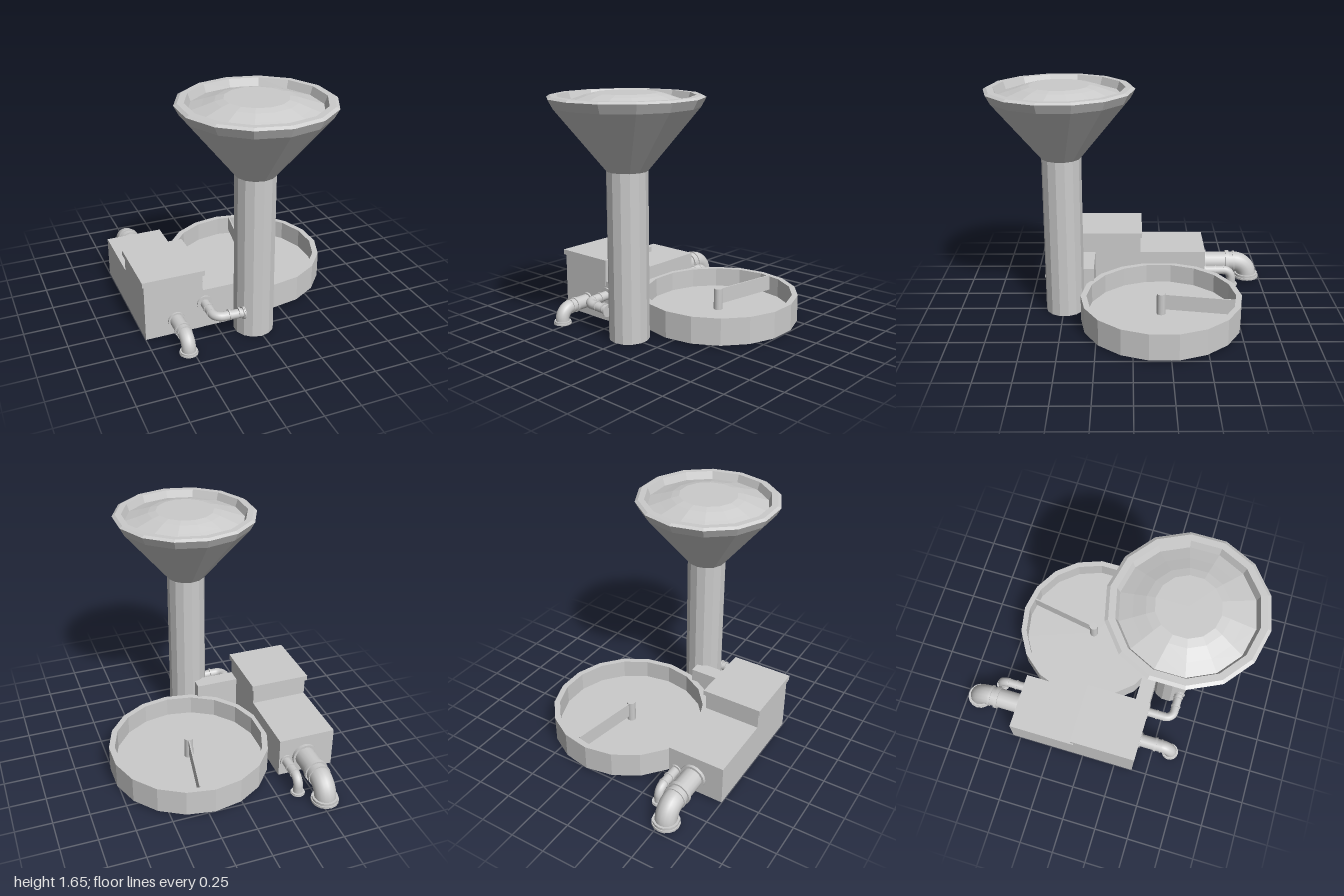
import * as THREE from 'three';

const flat = new THREE.MeshStandardMaterial({ color: 0xcccccc, flatShading: true });
const smooth = new THREE.MeshStandardMaterial({ color: 0xcccccc });
const V = (x, y, z) => new THREE.Vector3(x, y, z);

function add(parent, name, geometry, material = flat) {
  const mesh = new THREE.Mesh(geometry, material);
  mesh.name = name;
  parent.add(mesh);
  return mesh;
}

// Box given by its minimum and maximum corners
function box(parent, name, [x0, y0, z0], [x1, y1, z1]) {
  const mesh = add(parent, name, new THREE.BoxGeometry(x1 - x0, y1 - y0, z1 - z0));
  mesh.position.set((x0 + x1) / 2, (y0 + y1) / 2, (z0 + z1) / 2);
  return mesh;
}

function lathe(parent, name, points, sides) {
  const profile = points.map(([r, y]) => new THREE.Vector2(r, y));
  return add(parent, name, new THREE.LatheGeometry(profile, sides));
}

// Collar centred on a point and turned along a direction
function collar(parent, name, at, dir, r, length) {
  const shape = new THREE.CylinderGeometry(r, r, length, 16).toNonIndexed();
  const mesh = add(parent, name, shape, smooth);
  mesh.position.copy(at);
  mesh.quaternion.setFromUnitVectors(V(0, 1, 0), dir.clone().normalize());
}

// Pipe from a to c with one rounded corner at b, flanged at both ends
function elbowPipe(parent, name, a, b, c, { r, bend, wall, end, collars = [] }) {
  const group = new THREE.Group();
  group.name = name;
  const inDir = b.clone().sub(a).normalize();
  const outDir = c.clone().sub(b).normalize();
  const p = b.clone().addScaledVector(inDir, -bend);
  const q = b.clone().addScaledVector(outDir, bend);
  const path = new THREE.CurvePath();
  path.add(new THREE.LineCurve3(a, p));
  path.add(new THREE.CubicBezierCurve3(p,
    p.clone().addScaledVector(inDir, bend * 0.55),
    q.clone().addScaledVector(outDir, -bend * 0.55), q));
  path.add(new THREE.LineCurve3(q, c));
  add(group, 'pipe', new THREE.TubeGeometry(path, 32, r, 16), smooth);
  const thick = r * 0.35;
  collar(group, 'wallFlange', a, inDir, wall, thick);
  collar(group, 'endFlangeLip', c, outDir, end, thick * 0.6);
  collar(group, 'endFlange', c.clone().addScaledVector(outDir, -thick * 0.6), outDir, end * 0.93, thick * 0.8);
  // bands sit on the bend ends and any extra spots
  collar(group, 'bendBand', p, inDir, r * 1.1, thick * 0.6);
  for (const [from, dir, distance] of collars) {
    collar(group, 'band', from.clone().addScaledVector(dir, distance), dir, r * 1.15, thick);
  }
  parent.add(group);
}

export function createModel() {
  const model = new THREE.Group();
  model.name = 'waterWorks';

  // Tower column, funnel tank and shallow domed roof
  const tower = new THREE.Group();
  tower.name = 'tower';
  tower.position.set(-0.012, 0, 0.49);
  model.add(tower);
  lathe(tower, 'column', [[0, 0], [0.138, 0], [0.138, 1.15]], 14);
  lathe(tower, 'funnel', [
    [0.138, 1.15], [0.478, 1.565], [0.51, 1.625], [0.488, 1.638], [0.445, 1.638], [0.425, 1.585],
  ], 14);
  lathe(tower, 'roof', [[0.425, 1.585], [0.34, 1.612], [0.26, 1.64], [0.205, 1.653], [0, 1.653]], 14);

  // Round settling basin with a sweeping arm
  const basin = new THREE.Group();
  basin.name = 'basin';
  basin.position.set(0.206, 0, -0.201);
  model.add(basin);
  lathe(basin, 'basinShell', [
    [0, 0.015], [0.566, 0.015], [0.566, 0.204], [0.525, 0.204], [0.525, 0.065], [0, 0.065],
  ], 18);
  const post = add(basin, 'pivotPost', new THREE.CylinderGeometry(0.032, 0.032, 0.155, 12), smooth);
  post.position.y = 0.1425;
  const armPivot = new THREE.Group();
  armPivot.name = 'sweepArm';
  armPivot.rotation.y = -Math.PI / 18;
  basin.add(armPivot);
  box(armPivot, 'armBlade', [-0.005, 0.1, -0.517], [0.005, 0.213, 0]);

  // Pump house: long low block, tall front block with lid, small side block
  const house = new THREE.Group();
  house.name = 'pumpHouse';
  model.add(house);
  box(house, 'lowBlock', [-0.752, 0.008, -0.555], [-0.342, 0.3, -0.06]);
  box(house, 'tallBlock', [-0.752, 0.008, -0.062], [-0.342, 0.425, 0.388]);
  box(house, 'lid', [-0.765, 0.42, -0.075], [-0.328, 0.457, 0.4]);
  box(house, 'sideBlock', [-0.345, 0.008, 0.28], [-0.03, 0.3, 0.386]);

  // Pipes
  const front = V(0, 0, 1), back = V(0, 0, -1), right = V(1, 0, 0);
  const a1 = V(-0.534, 0.115, 0.393);
  elbowPipe(model, 'frontOutletPipe', a1, V(-0.534, 0.115, 0.63), V(-0.534, 0.014, 0.63),
    { r: 0.048, bend: 0.075, wall: 0.06, end: 0.063, collars: [[a1, front, 0.12]] });

  const a2 = V(-0.533, 0.14, -0.563);
  elbowPipe(model, 'largeRearPipe', a2, V(-0.533, 0.14, -0.9), V(-0.533, 0.02, -0.9),
    { r: 0.075, bend: 0.105, wall: 0.092, end: 0.096, collars: [[a2, back, 0.18]] });

  const a3 = V(-0.394, 0.125, -0.56);
  elbowPipe(model, 'smallRearPipe', a3, V(-0.394, 0.125, -0.765), V(-0.394, 0.008, -0.765),
    { r: 0.033, bend: 0.06, wall: 0.045, end: 0.05, collars: [[a3, back, 0.08]] });

  const a4 = V(-0.33, 0.2, 0.392), b4 = V(-0.33, 0.197, 0.58);
  elbowPipe(model, 'towerFeedPipe', a4, b4, V(-0.125, 0.188, 0.58),
    { r: 0.032, bend: 0.06, wall: 0.055, end: 0.045, collars: [[a4, front, 0.07], [b4, right, 0.1], [b4, right, 0.17]] });

  return model;
}
